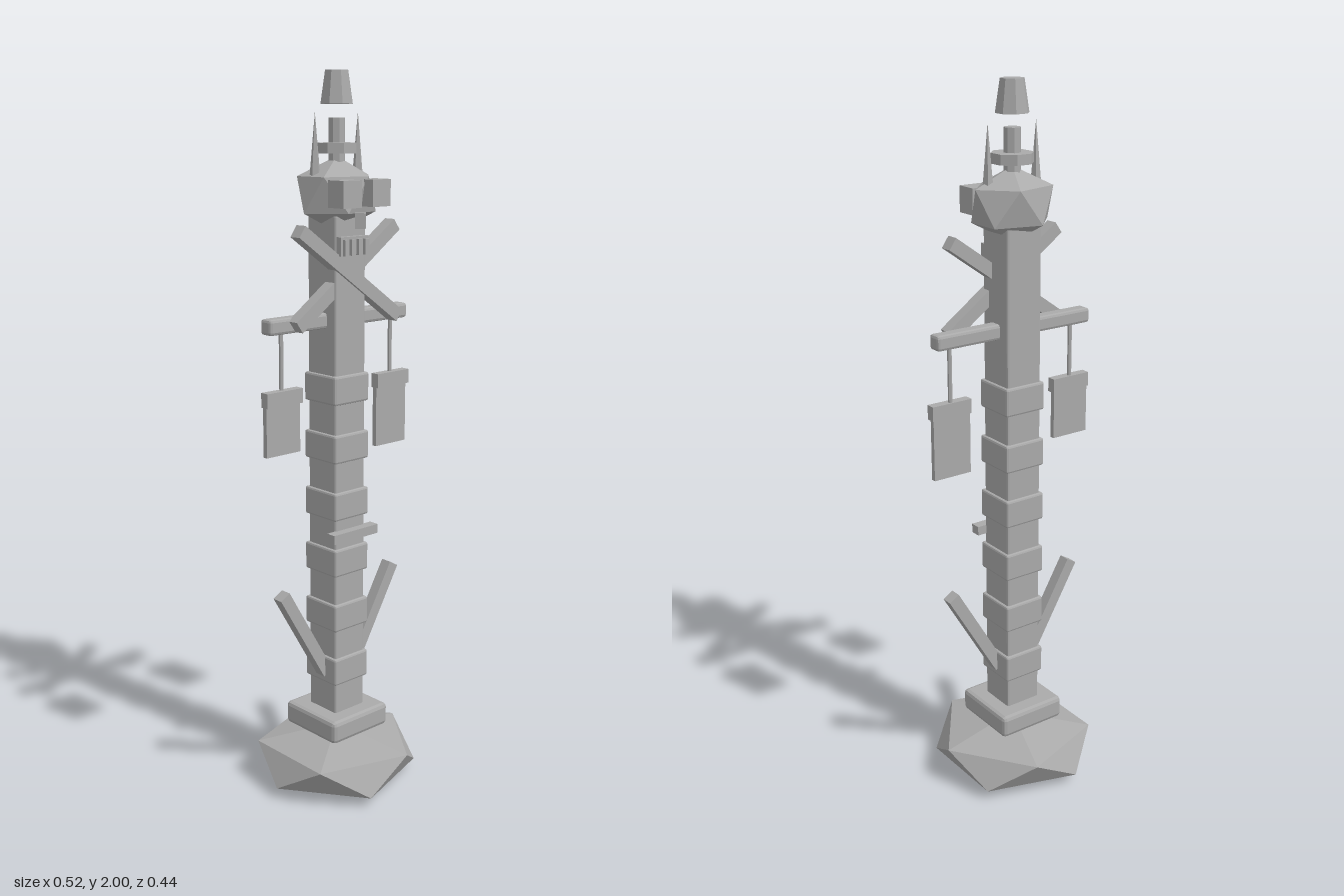
import * as THREE from 'three';
import { RoundedBoxGeometry } from 'three/addons/geometries/RoundedBoxGeometry.js';

const stone = new THREE.MeshStandardMaterial({ color: 0xaaaaaa, flatShading: true });
stone.name = 'grey stone';

export function createModel() {
  const model = new THREE.Group();
  model.name = 'signpostTotem';

  const add = (name, geometry, x, y, z, rotZ = 0) => {
    const mesh = new THREE.Mesh(geometry, stone);
    mesh.name = name;
    mesh.position.set(x, y, z);
    mesh.rotation.z = rotZ;
    model.add(mesh);
    return mesh;
  };
  const box = (name, w, h, d, x, y, z, rotZ) =>
    add(name, new THREE.BoxGeometry(w, h, d), x, y, z, rotZ);
  const chamferBox = (name, w, h, d, bevel, x, y, z) =>
    add(name, new RoundedBoxGeometry(w, h, d, 1, bevel), x, y, z);
  const prism = (name, rTop, rBottom, y0, y1) =>
    add(name, new THREE.CylinderGeometry(rTop, rBottom, y1 - y0, 8).rotateY(Math.PI / 8), 0, (y0 + y1) / 2, 0);

  // Twenty-sided boulder: two poles and two staggered rings of five
  const boulder = (name, rx, rz, yTop, yUpper, yLower, yBottom) => {
    const ring = (y, shift) => (i) => {
      const a = ((i + shift) * Math.PI * 2) / 5;
      return [rx * Math.cos(a), y, rz * Math.sin(a)];
    };
    const u = ring(yUpper, 0), l = ring(yLower, 0.5);
    const top = [0, yTop, 0], bottom = [0, yBottom, 0];
    const p = [];
    for (let i = 0; i < 5; i++) {
      p.push(top, u(i + 1), u(i));
      p.push(u(i), u(i + 1), l(i));
      p.push(u(i + 1), l(i + 1), l(i));
      p.push(bottom, l(i), l(i + 1));
    }
    const g = new THREE.BufferGeometry();
    g.setAttribute('position', new THREE.Float32BufferAttribute(p.flat(), 3));
    g.computeVertexNormals();
    add(name, g, 0, 0, 0);
  };

  // Base rock and plinth
  boulder('baseRock', 0.23, 0.232, 0.16, 0.113, 0.03, 0);
  chamferBox('plinth', 0.21, 0.066, 0.21, 0.012, 0, 0.192, 0);

  // Post with six collars
  chamferBox('post', 0.11, 1.43, 0.11, 0.006, 0, 0.92, 0);
  for (let i = 0; i < 6; i++)
    chamferBox('collar', 0.126, 0.08, 0.126, 0.006, 0, 0.352 + i * 0.163, 0);
  box('frontLedge', 0.164, 0.026, 0.03, 0, 0.758, 0.066);

  // Crossbar
  chamferBox('crossbar', 0.5, 0.042, 0.042, 0.008, 0, 1.354, 0);

  for (const s of [-1, 1]) {
    // Raised lower braces
    box('lowerBrace', 0.035, 0.31, 0.033, s * 0.13, 0.474, 0.004, -s * 0.53);

    // Hanging boards; the one on the left is longer
    const boardTop = 1.183, boardHeight = s < 0 ? 0.175 : 0.21;
    add('hangingRope', new THREE.CylinderGeometry(0.006, 0.006, 0.16, 6), s * 0.2, 1.26, 0.003);
    box('hangingBoard', 0.116, boardHeight, 0.014, s * 0.2, boardTop - boardHeight / 2, 0.003);
    box('boardHeader', 0.122, 0.04, 0.026, s * 0.2, boardTop - 0.02, 0.006);

    // Eye blocks and horns on the head
    box('eyeBlock', 0.064, 0.07, 0.06, s * 0.052, 1.69, 0.088);
    add('horn', new THREE.ConeGeometry(0.015, 0.165, 5), s * 0.076, 1.813, 0);
  }

  // Crossed diagonal beams, one set slightly ahead of the other
  box('frontDiagonal', 0.43, 0.036, 0.036, 0, 1.475, 0.046, -0.615);
  box('rearDiagonal', 0.43, 0.036, 0.036, 0, 1.475, 0.033, 0.615);

  // Ribbed mouth plate
  box('mouthPlate', 0.1, 0.05, 0.022, 0, 1.553, 0.06);
  for (let i = 0; i < 4; i++)
    box('mouthRib', 0.014, 0.042, 0.016, -0.036 + i * 0.024, 1.55, 0.073);

  // Head and beak
  boulder('head', 0.115, 0.09, 1.783, 1.732, 1.638, 1.585);
  const beak = box('beak', 0.028, 0.04, 0.028, 0, 1.62, 0.092);
  beak.rotation.y = Math.PI / 4;

  // Crown, stem and floating tip
  prism('crownStem', 0.023, 0.023, 1.76, 1.88);
  prism('crownDisc', 0.057, 0.057, 1.79, 1.817);
  prism('floatingTip', 0.032, 0.045, 1.915, 2);

  return model;
}
